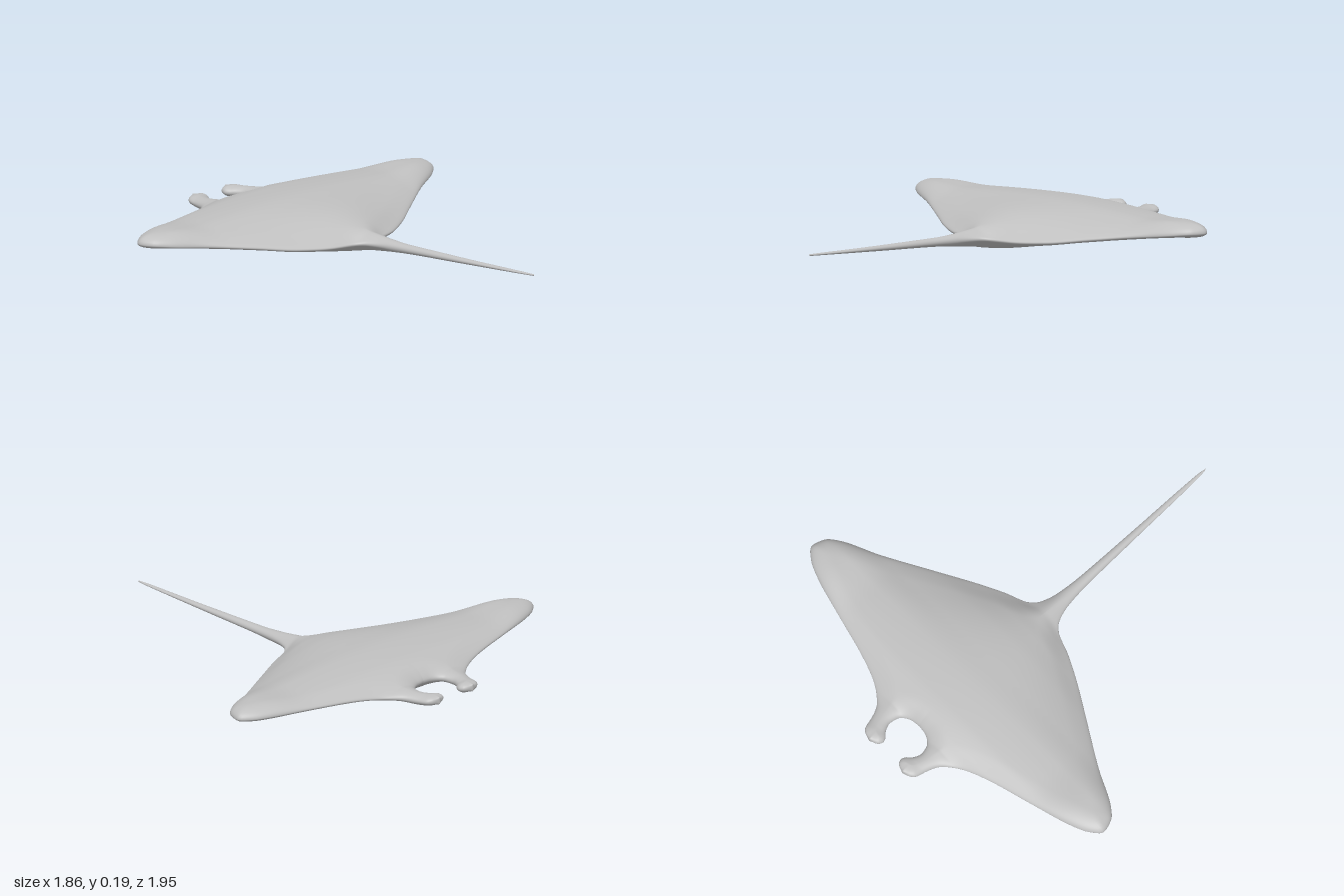
import * as THREE from 'three';
import { mergeVertices } from 'three/addons/utils/BufferGeometryUtils.js';

// Outline of one half: [z, x], from tail tip to horn tip
const OUTER = [
  [0.95, 0.002], [0.9, 0.008], [0.5, 0.017], [0.2, 0.025], [0.08, 0.037], [0, 0.062],
  [-0.04, 0.1], [-0.08, 0.2], [-0.15, 0.335], [-0.25, 0.5], [-0.37, 0.7], [-0.45, 0.855],
  [-0.5, 0.91], [-0.56, 0.928], [-0.61, 0.88], [-0.65, 0.79], [-0.7, 0.61], [-0.75, 0.42],
  [-0.79, 0.305], [-0.82, 0.25], [-0.87, 0.195], [-0.92, 0.174], [-0.97, 0.16],
  [-0.99, 0.14], [-1, 0.107]];
// Rounded notch between the two horns: [z, x]
const NOTCH = -0.797;
const INNER = [
  [NOTCH, 0], [-0.802, 0.04], [-0.82, 0.075], [-0.84, 0.092], [-0.88, 0.1], [-0.92, 0.084],
  [-0.94, 0.064], [-0.96, 0.056], [-0.98, 0.062], [-0.99, 0.075], [-1, 0.103]];
// Heights: [z, rim, top at centre, bottom at centre]
const HEIGHTS = [
  [0.95, 0.08, 0.084, 0.076], [0.5, 0.067, 0.08, 0.054], [0.2, 0.06, 0.08, 0.04],
  [0, 0.058, 0.096, 0.02], [-0.08, 0.052, 0.112, 0.008], [-0.15, 0.058, 0.135, 0.002],
  [-0.25, 0.08, 0.162, 0.01], [-0.37, 0.105, 0.18, 0.018], [-0.5, 0.127, 0.19, 0.026],
  [-0.65, 0.127, 0.181, 0.04], [-0.75, 0.115, 0.16, 0.05], [-0.82, 0.1, 0.135, 0.06],
  [-0.92, 0.094, 0.125, 0.066], [-1, 0.1, 0.125, 0.075]];

// Smooth interpolation without overshoot through rows sorted by falling z
function sample(rows, z, k) {
  const last = rows.length - 1;
  let i = 0;
  while (i < last - 1 && z < rows[i + 1][0]) i++;
  const slope = (n) => (rows[n + 1][k] - rows[n][k]) / (rows[n + 1][0] - rows[n][0]);
  const tangent = (n) => {
    if (n === 0) return slope(0);
    if (n === last) return slope(last - 1);
    const a = slope(n - 1), b = slope(n);
    return a * b <= 0 ? 0 : (2 * a * b) / (a + b);
  };
  const h = rows[i + 1][0] - rows[i][0];
  const t = Math.min(1, Math.max(0, (z - rows[i][0]) / h));
  const t2 = t * t, t3 = t2 * t;
  return (2 * t3 - 3 * t2 + 1) * rows[i][k] + (t3 - 2 * t2 + t) * h * tangent(i)
    + (3 * t2 - 2 * t3) * rows[i + 1][k] + (t3 - t2) * h * tangent(i + 1);
}

const outerX = (z) => sample(OUTER, z, 1);
const innerX = (z) => (z >= NOTCH ? 0 : Math.max(0, sample(INNER, z, 1)));

// Cross-section positions, packed closely around the notch and horn tips
function sectionPositions() {
  const list = [];
  const add = (from, to, n, ease) => {
    for (let i = 0; i < n; i++) list.push(from + (to - from) * ease(i / n));
  };
  add(0.95, 0.1, 24, (t) => t);
  add(0.1, -0.72, 80, (t) => t);
  add(-0.72, NOTCH, 18, (t) => Math.sin(t * Math.PI / 2));
  add(NOTCH, -1, 56, (t) => (1 - Math.cos(t * Math.PI)) / 2);
  list.push(-1);
  return list;
}

function distanceToOutline(line, x, z) {
  let best = Infinity;
  for (let i = 0; i < line.length - 1; i++) {
    const [ax, az] = line[i], dx = line[i + 1][0] - ax, dz = line[i + 1][1] - az;
    const len = dx * dx + dz * dz || 1e-12;
    const t = Math.min(1, Math.max(0, ((x - ax) * dx + (z - az) * dz) / len));
    best = Math.min(best, Math.hypot(x - ax - t * dx, z - az - t * dz));
  }
  return best;
}

function buildRay() {
  const zs = sectionPositions();
  const columns = 44;
  const outline = zs.map((z) => [outerX(z), z]);
  for (const z of [...zs].reverse()) if (z <= NOTCH) outline.push([innerX(z), z]);

  const positions = [], indices = [];
  const rowSize = columns + 1, sheet = zs.length * rowSize;
  for (const side of [1, -1]) {
    for (const up of [1, -1]) {
      const start = positions.length / 3;
      for (const z of zs) {
        const x0 = innerX(z), x1 = outerX(z);
        const rim = sample(HEIGHTS, z, 1);
        const centre = sample(HEIGHTS, z, up > 0 ? 2 : 3);
        const depth = Math.abs(centre - rim);
        const edge = Math.min(0.025, depth);
        const radius = Math.min(0.09, z < NOTCH ? (x1 - x0) / 2 : x1);
        for (let j = 0; j <= columns; j++) {
          const x = x0 + (x1 - x0) * (1 - Math.cos(j / columns * Math.PI)) / 2;
          const u = x / x1;
          // Thick body fading to thin wings, with a slightly raised wing tip
          const bell = Math.pow(Math.max(0, 1 - u * u), up > 0 ? 2 : 3);
          let height = edge + (depth - edge) * bell;
          if (up > 0) height += 0.018 * THREE.MathUtils.smoothstep(x, 0.58, 0.8);
          // Rounded rim all along the outline
          const onRim = j === columns || (j === 0 && z <= NOTCH);
          const d = onRim ? 0 : Math.min(1, distanceToOutline(outline, x, z) / Math.max(radius, 1e-4));
          const round = Math.sqrt(Math.max(0, 1 - (1 - d) * (1 - d)));
          positions.push(side * x, rim + up * height * round, z);
        }
      }
      for (let k = 0; k < sheet - rowSize; k++) {
        if (k % rowSize === columns) continue;
        const a = start + k, b = a + 1, c = a + rowSize, d = c + 1;
        if (side * up > 0) indices.push(a, b, c, b, d, c);
        else indices.push(a, c, b, b, c, d);
      }
    }
  }
  let geometry = new THREE.BufferGeometry();
  geometry.setAttribute('position', new THREE.Float32BufferAttribute(positions, 3));
  geometry.setIndex(indices);
  geometry = mergeVertices(geometry, 1e-5);
  geometry.computeVertexNormals();
  return geometry;
}

export function createModel() {
  const group = new THREE.Group();
  group.name = 'ray';
  const skin = new THREE.MeshStandardMaterial({ color: 0xbfbfbf });
  skin.name = 'grey skin';
  // Body, wings, horns and tail in one seamless skin
  const body = new THREE.Mesh(buildRay(), skin);
  body.name = 'bodyWithWingsHornsAndTail';
  group.add(body);
  return group;
}
